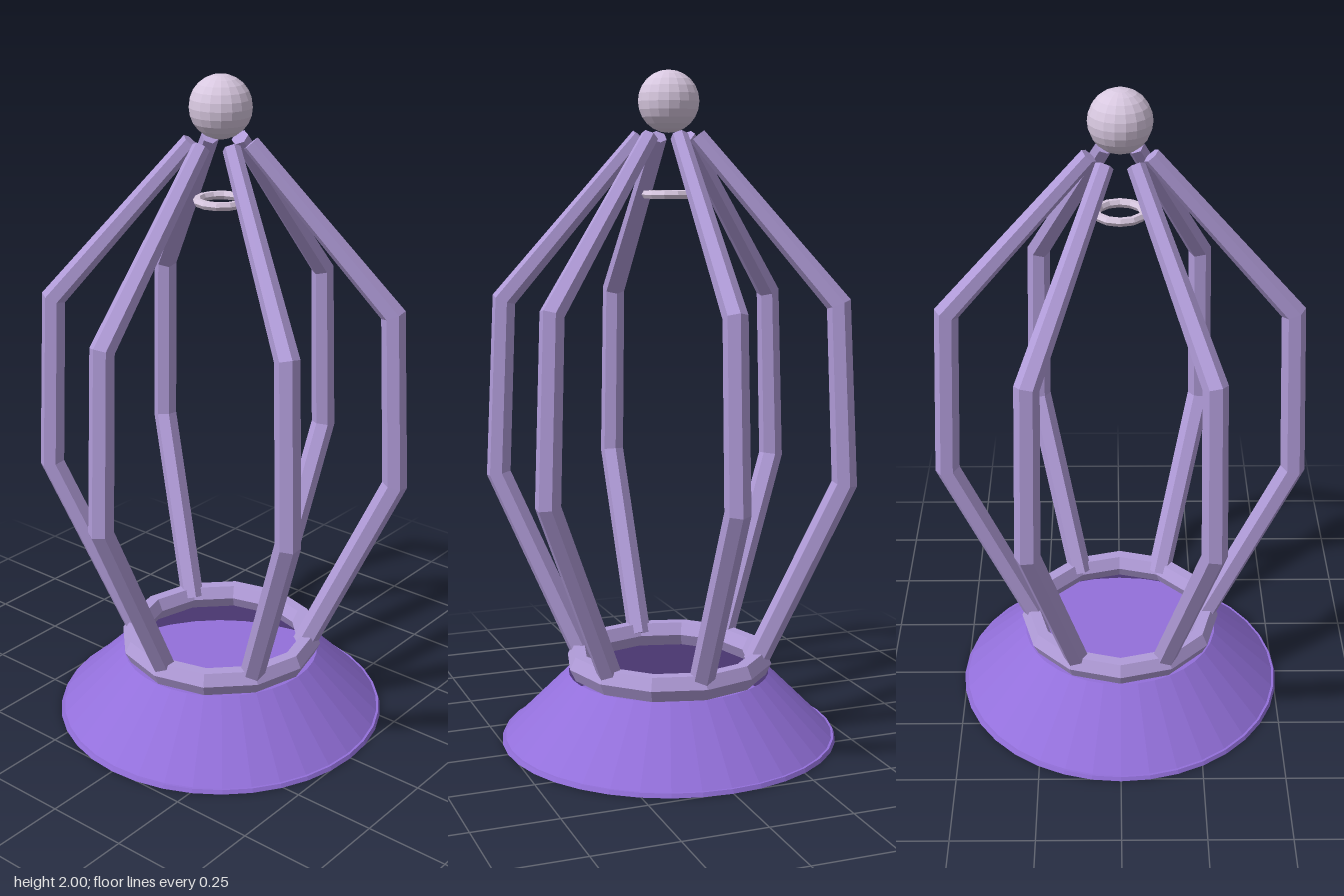
import * as THREE from 'three';

const flat = (name, color, side = THREE.FrontSide) => {
  const m = new THREE.MeshStandardMaterial({ color, flatShading: true, side });
  m.name = name;
  return m;
};

// Mitred hexagonal bar following [radius, height, thickness] points in the xy plane
function barGeometry(path, sides = 6) {
  const pts = path.map(([x, y]) => new THREE.Vector2(x, y));
  const pos = [], index = [], last = pts.length - 1;
  pts.forEach((p, i) => {
    const a = pts[Math.min(i + 1, last)].clone().sub(pts[Math.min(i, last - 1)]).normalize();
    const b = pts[Math.max(i, 1)].clone().sub(pts[Math.max(i - 1, 0)]).normalize();
    const t = a.clone().add(b).normalize();
    const r = path[i][2], mitre = r / t.dot(a);
    for (let j = 0; j < sides; j++) {
      const ang = (j / sides) * Math.PI * 2;
      const n = Math.cos(ang) * mitre;
      pos.push(p.x + t.y * n, p.y - t.x * n, -Math.sin(ang) * r);
    }
  });
  for (let i = 0; i < last; i++) {
    for (let j = 0; j < sides; j++) {
      const k = (j + 1) % sides, u = i * sides, v = u + sides;
      index.push(u + j, u + k, v + k, u + j, v + k, v + j);
    }
  }
  for (let j = 1; j < sides - 1; j++) {
    index.push(0, j + 1, j);
    index.push(last * sides, last * sides + j, last * sides + j + 1);
  }
  const g = new THREE.BufferGeometry();
  g.setAttribute('position', new THREE.Float32BufferAttribute(pos, 3));
  g.setIndex(index);
  g.computeVertexNormals();
  return g;
}

export function createModel() {
  const model = new THREE.Group();
  const purple = flat('base purple', 0x9370db, THREE.DoubleSide);
  const lilac = flat('frame lilac', 0xb19cd9);
  const pale = flat('pale lavender', 0xd8c8e0);

  const add = (name, geometry, material, y = 0) => {
    const mesh = new THREE.Mesh(geometry, material);
    mesh.name = name;
    mesh.position.y = y;
    model.add(mesh);
    return mesh;
  };

  // Hollow flared base with a thin floor
  add('baseSkirt', new THREE.CylinderGeometry(0.305, 0.5, 0.195, 36, 1, true), purple, 0.1075);
  add('baseFloor', new THREE.CylinderGeometry(0.505, 0.51, 0.012, 36), purple, 0.006);

  // Chunky collar on top of the base
  const collar = new THREE.TorusGeometry(0.28, 0.035, 6, 12);
  collar.rotateX(Math.PI / 2).scale(1, 1.2, 1);
  add('collar', collar, lilac, 0.238);

  // Six bent cage ribs
  const rib = barGeometry([
    [0.265, 0.24, 0.037],
    [0.525, 0.8, 0.037],
    [0.5, 1.33, 0.035],
    [0.085, 1.81, 0.026],
  ]);
  for (let i = 0; i < 6; i++) {
    add('rib' + (i + 1), rib, lilac).rotation.y = (i * Math.PI) / 3;
  }

  // Small ring hanging inside the top, and the ball finial
  const ring = new THREE.TorusGeometry(0.067, 0.013, 6, 12);
  ring.rotateX(Math.PI / 2);
  add('innerRing', ring, pale, 1.643);
  add('finialBall', new THREE.SphereGeometry(0.09, 18, 12), pale, 1.91);

  return model;
}
